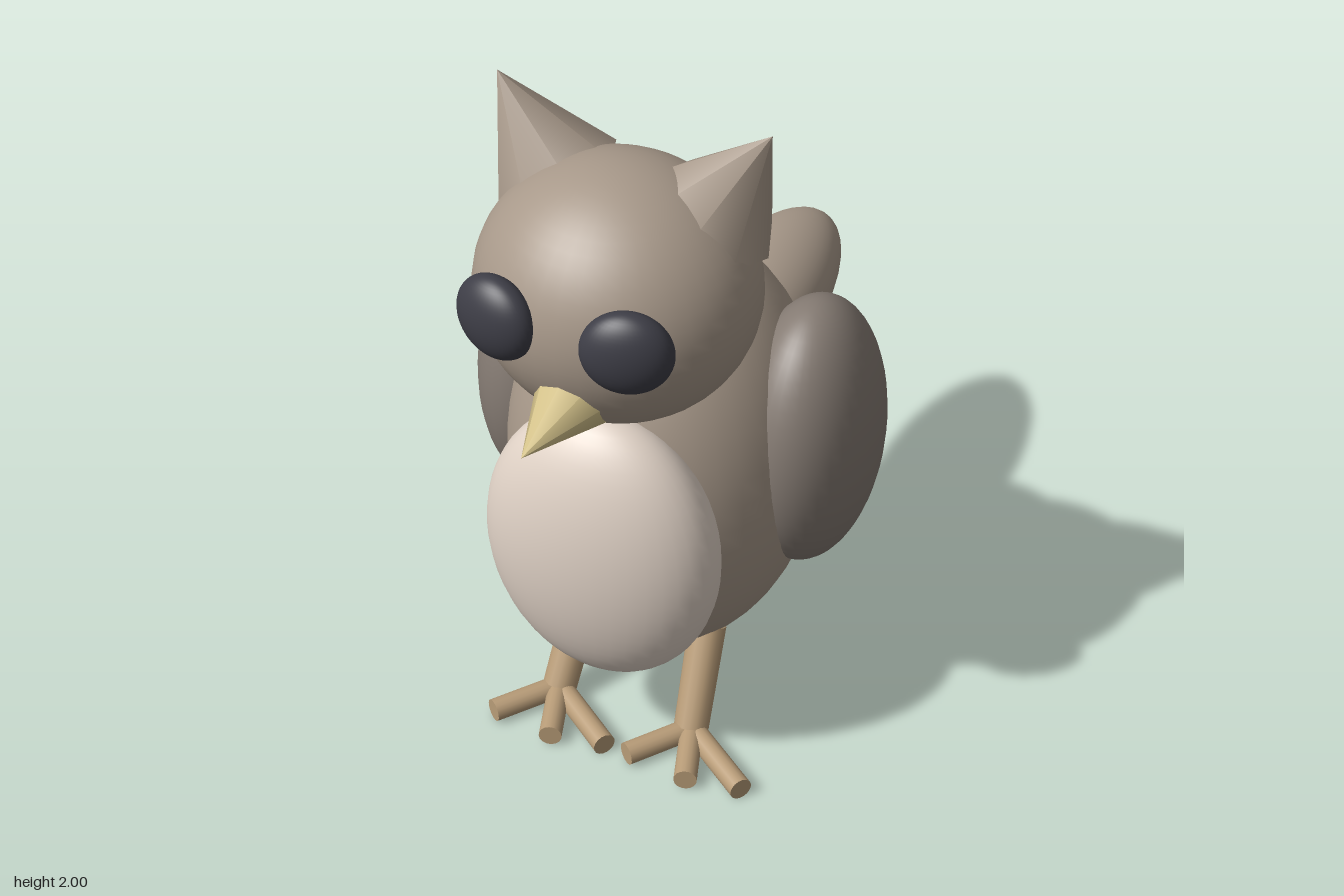
import * as THREE from 'three';

const mat = (color) => new THREE.MeshStandardMaterial({ color });
const feathers = mat(0xa8998a), wingFeathers = mat(0x857b73), pale = mat(0xe0d2c6);
const dark = mat(0x3e3e47), horn = mat(0xd6c48c), skin = mat(0xb89c78);

// Ellipsoid from a centre and three radii
function ellipsoid(name, material, pos, radii) {
  const mesh = new THREE.Mesh(new THREE.SphereGeometry(1, 40, 28), material);
  mesh.name = name;
  mesh.position.set(...pos);
  mesh.scale.set(...radii);
  return mesh;
}

// Cylinder or cone running from point a to point b
function rod(name, material, a, b, ra, rb, sides = 16) {
  const from = new THREE.Vector3(...a), to = new THREE.Vector3(...b);
  const axis = to.clone().sub(from);
  const mesh = new THREE.Mesh(new THREE.CylinderGeometry(rb, ra, axis.length(), sides), material);
  mesh.name = name;
  mesh.position.copy(from).add(to).multiplyScalar(0.5);
  mesh.quaternion.setFromUnitVectors(new THREE.Vector3(0, 1, 0), axis.normalize());
  return mesh;
}

export function createModel() {
  const bird = new THREE.Group();
  bird.name = 'bird';

  // Body, belly patch, head and tail
  bird.add(
    ellipsoid('body', feathers, [0, 0.81, 0.13], [0.435, 0.65, 0.463]),
    ellipsoid('belly', pale, [0, 0.745, 0.535], [0.338, 0.432, 0.19]),
    ellipsoid('head', feathers, [0, 1.513, 0.417], [0.378, 0.354, 0.36]),
    ellipsoid('tail', feathers, [0, 0.86, -0.46], [0.187, 0.17, 0.513]),
    rod('beak', horn, [0, 1.343, 0.65], [0, 1.344, 0.97], 0.117, 0, 8)
  );

  // Toe directions from the ankle, the same on both feet
  const toes = [[-0.125, 0.17], [0.068, 0.195], [0.223, 0.163]];

  for (const s of [1, -1]) {
    const side = s > 0 ? 'left' : 'right';
    bird.add(ellipsoid(side + 'Wing', wingFeathers, [s * 0.392, 0.902, 0.037], [0.195, 0.415, 0.28]));

    const eye = ellipsoid(side + 'Eye', dark, [s * 0.18, 1.567, 0.74], [0.12, 0.117, 0.068]);
    eye.rotation.y = s * 0.28;
    bird.add(eye);

    // Ear leaning outward
    bird.add(rod(side + 'Ear', feathers, [s * 0.218, 1.723, 0.315], [s * 0.378, 2, 0.32], 0.177, 0, 8));

    // Leg and three-toed foot
    bird.add(rod(side + 'Leg', skin, [s * 0.19, 0.3, 0.27], [s * 0.208, 0.04, 0.42], 0.054, 0.05));
    const foot = new THREE.Group();
    foot.name = side + 'Foot';
    foot.position.set(s * 0.21, 0.033, 0.42);
    for (const [x, z] of toes) foot.add(rod('toe', skin, [0, 0, 0], [x, 0, z], 0.033, 0.033));
    bird.add(foot);
  }
  return bird;
}
